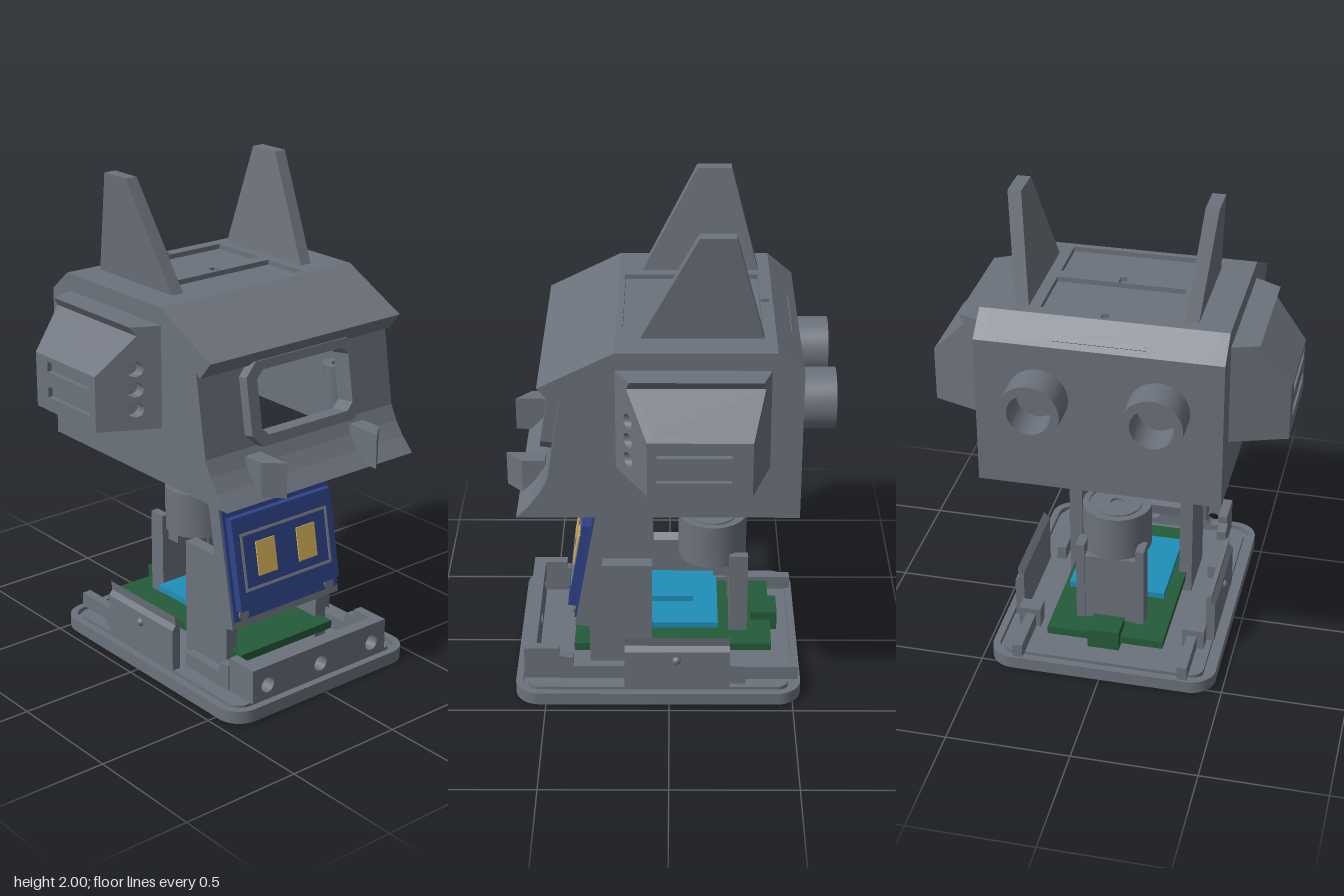
import * as THREE from 'three';
import { toCreasedNormals } from 'three/addons/utils/BufferGeometryUtils.js';

const paint = (name, hex) => {
  const m = new THREE.MeshStandardMaterial({ color: hex });
  m.name = name;
  return m;
};

export function createModel() {
  const grey = paint('casing grey', 0x6c727c);
  const blue = paint('display blue', 0x2f4489);
  const gold = paint('eye gold', 0xd9b45a);
  const line = paint('bezel line', 0x85888c);
  const green = paint('board green', 0x245c39);
  const cyan = paint('module cyan', 0x1f8fb8);

  const model = new THREE.Group();
  const head = new THREE.Group();
  const base = new THREE.Group();
  head.name = 'headShell';
  base.name = 'baseUnit';
  model.add(head, base);

  // ---- helpers ----
  const add = (parent, name, geo, mat = grey) => {
    const m = new THREE.Mesh(geo, mat);
    m.name = name;
    parent.add(m);
    return m;
  };
  const box = (parent, name, mat, x0, x1, y0, y1, z0, z1) => {
    const g = new THREE.BoxGeometry(Math.abs(x1 - x0), y1 - y0, z1 - z0);
    g.translate((x0 + x1) / 2, (y0 + y1) / 2, (z0 + z1) / 2);
    return add(parent, name, g, mat);
  };
  const poly = (pts, holes = []) => {
    const s = new THREE.Shape(pts.map(p => new THREE.Vector2(...p)));
    s.holes = holes;
    return s;
  };
  const rect = (x0, x1, y0, y1, c = 0) => c
    ? [[x0 + c, y0], [x1 - c, y0], [x1, y0 + c], [x1, y1 - c], [x1 - c, y1], [x0 + c, y1], [x0, y1 - c], [x0, y0 + c]]
    : [[x0, y0], [x1, y0], [x1, y1], [x0, y1]];
  const hole = pts => new THREE.Path(pts.map(p => new THREE.Vector2(...p)));
  const round = (x, y, r) => new THREE.Path().absarc(x, y, r, 0, Math.PI * 2, true);
  const disc = r => new THREE.Shape().absarc(0, 0, r, 0, Math.PI * 2, false);
  const extrude = (shape, depth) =>
    new THREE.ExtrudeGeometry(shape, { depth, bevelEnabled: false, curveSegments: 24 });
  // side profile in (z, y), swept across x
  const across = (pts, x0, x1, holes) =>
    extrude(poly(pts, holes), x1 - x0).rotateY(-Math.PI / 2).translate(x1, 0, 0);
  // plan shape in (x, -z), raised from y0 to y1
  const upward = (shape, y0, y1) =>
    toCreasedNormals(extrude(shape, y1 - y0).rotateX(-Math.PI / 2).translate(0, y0, 0), 0.5);
  const mirrored = geo => {
    const g = geo.clone().scale(-1, 1, 1);
    const a = g.attributes.position;
    const p = new THREE.Vector3(), q = new THREE.Vector3();
    for (let i = 0; i < a.count; i += 3) {
      p.fromBufferAttribute(a, i);
      q.fromBufferAttribute(a, i + 2);
      a.setXYZ(i, q.x, q.y, q.z);
      a.setXYZ(i + 2, p.x, p.y, p.z);
    }
    g.computeVertexNormals();
    return g;
  };

  // ---- head: walls, brow, back, chin ----
  const chin = [[0.585, 0.89], [0.53, 0.945], [0.49, 1.0], [0.46, 1.06]];
  const side = [[-0.5, 0.89], ...chin, [0.407, 1.386], [0.43, 1.37], [0.49, 1.44],
    [0.2, 1.585], [-0.4, 1.585], [-0.5, 1.5]];
  add(head, 'leftWall', across(side, 0.435, 0.475));
  add(head, 'rightWall', across(side, -0.475, -0.435));
  const W = 0.435;
  add(head, 'brow', across([[0.2, 1.585], [0.49, 1.44], [0.43, 1.37], [0.39, 1.38], [0.2, 1.53]], -W, W));
  add(head, 'backWall', across([[-0.4, 1.585], [-0.5, 1.5], [-0.5, 0.89], [-0.46, 0.89], [-0.46, 1.48], [-0.4, 1.53]], -W, W));
  add(head, 'chin', across([...chin, [0.42, 1.06], [0.45, 1.0], [0.49, 0.94], [0.54, 0.89]], -W, W));
  add(head, 'backSlot', across([[-0.465, 1.53], [-0.48, 1.517], [-0.4825, 1.52], [-0.4675, 1.533]], -0.175, 0.175));

  // roof with two sunken panels and two key slots
  const sunk = [rect(-0.253, 0.253, 0.095, 0.35), rect(-0.253, 0.253, -0.175, 0.04),
    rect(-0.014, 0.014, 0.353, 0.385), rect(-0.014, 0.014, 0.043, 0.092)].map(hole);
  add(head, 'roof', upward(poly(rect(-W, W, -0.2, 0.4), sunk), 1.565, 1.585));
  box(head, 'roofPanels', grey, -W, W, 1.53, 1.565, -0.4, 0.2);

  // tilted face panel with raised window frame
  const face = new THREE.Group();
  face.name = 'facePanel';
  face.position.set(0, 1.06, 0.46);
  face.rotation.x = -0.16;
  head.add(face);
  const opening = () => hole(rect(-0.23, 0.23, 0.04, 0.29, 0.03));
  add(face, 'facePlate', extrude(poly(rect(-W, W, 0, 0.33), [opening()]), 0.04).translate(0, 0, -0.04));
  add(face, 'windowFrame', extrude(poly(rect(-0.28, 0.28, 0, 0.325, 0.05), [opening()]), 0.045));

  // cheek pods: tapering front and back, with round and slotted openings
  const taper = geo => {
    const p = geo.attributes.position;
    for (let i = 0; i < p.count; i++) {
      const d = p.getX(i) - 0.475;
      p.setZ(i, THREE.MathUtils.lerp(-0.38 + d * 0.33, 0.2 - d * 0.545, p.getZ(i)));
    }
    geo.computeVertexNormals();
    return geo;
  };
  const crown = [[0.555, 1.48], [0.578, 1.515], [0.475, 1.515]];
  const podBody = taper(extrude(poly([[0.475, 1.11], [0.675, 1.11], [0.675, 1.351], ...crown]), 0.92));
  const podFront = taper(extrude(poly([[0.475, 1.11], [0.695, 1.11], [0.695, 1.33], ...crown],
    [1.35, 1.27, 1.19].map(y => round(0.563, y, 0.029))), 0.08).translate(0, 0, 0.92));
  const slot = (y0, y1) => hole(rect(0.2, 0.91, y0, y1));
  const podOuter = across(rect(0, 0.92, 1.11, 1.33), 0.675, 0.695, [slot(1.165, 1.208), slot(1.268, 1.31)]);
  const op = podOuter.attributes.position;
  for (let i = 0; i < op.count; i++) if (op.getX(i) < 0.68 && op.getY(i) > 1.32) op.setY(i, 1.351);
  taper(podOuter);
  for (const [name, geo] of [['podBody', podBody], ['podFront', podFront], ['podOuterPlate', podOuter]]) {
    add(head, name, geo);
    add(head, name, mirrored(geo));
  }

  for (const s of [-1, 1]) {
    // ear: a box leaning outward and narrowing upward
    const ear = new THREE.BoxGeometry(1, 1, 1);
    const p = ear.attributes.position;
    for (let i = 0; i < p.count; i++) {
      const top = p.getY(i) > 0, front = p.getZ(i) > 0;
      p.setXYZ(i, s * (top ? 0.37 : 0.322) + p.getX(i) * 0.052, top ? 2 : 1.58,
        top ? (front ? -0.11 : -0.245) : (front ? 0.11 : -0.355));
    }
    add(head, 'ear', ear.toNonIndexed()).geometry.computeVertexNormals();

    // tusk under the window
    add(head, 'tusk', upward(poly([[s * 0.3, -0.48], [s * 0.3, -0.57], [s * 0.228, -0.635], [s * 0.228, -0.48]]), 0.9, 1.04));

    // rear exhaust ring
    const ring = disc(0.118);
    ring.holes.push(round(0, 0, 0.083));
    add(head, 'rearTube', toCreasedNormals(extrude(ring, 0.137), 0.5).translate(s * 0.232, 1.283, -0.635));

    // screw posts inside the shell
    for (const z of [-0.4, 0.25]) {
      const post = disc(0.06);
      post.holes.push(round(0, 0, 0.025));
      add(head, 'screwPost', upward(post, 0.9, 1.2).translate(s * 0.375, 0, z));
    }
  }

  // ---- base plate with rim and groove ----
  const plan = inset => {
    const x = 0.465 - inset, a = -0.625 + inset, b = 0.535 - inset, r = 0.1 - inset;
    const h = Math.PI / 2;
    return new THREE.Shape().absarc(x - r, a + r, r, -h, 0).absarc(x - r, b - r, r, 0, h)
      .absarc(-x + r, b - r, r, h, 2 * h).absarc(-x + r, a + r, r, 2 * h, 3 * h);
  };
  add(base, 'basePlate', upward(plan(0), 0.004, 0.036));
  const rim = plan(0);
  rim.holes.push(new THREE.Path(plan(0.03).getPoints(24)));
  add(base, 'baseRim', upward(rim, 0.036, 0.057));
  add(base, 'baseDeck', upward(plan(0.05), 0.036, 0.055));
  for (const x of [-0.3, 0.3]) for (const z of [-0.29, 0.38])
    add(base, 'footPad', new THREE.CylinderGeometry(0.08, 0.08, 0.006, 32).translate(x, 0.003, z));

  // front bar with three holes
  add(base, 'frontBar', extrude(poly(rect(-0.35, 0.35, 0.055, 0.197),
    [-0.275, 0, 0.275].map(x => round(x, 0.115, 0.032))), 0.05).translate(0, 0, 0.54));
  for (const s of [-1, 1]) {
    box(base, 'barReturn', grey, s * 0.31, s * 0.35, 0.055, 0.197, 0.447, 0.54);
    add(base, 'frontRail', across([[0.447, 0.055], [0.447, 0.165], [0.39, 0.155], [0.39, 0.115], [0.18, 0.115], [0.18, 0.055]],
      s * 0.335 - 0.02, s * 0.335 + 0.02));
    box(base, 'rearRail', grey, s * 0.32, s * 0.36, 0.055, 0.115, -0.525, -0.2);
    box(base, 'rearBlock', grey, s * 0.3, s * 0.39, 0.055, 0.14, -0.31, -0.245);
    // side wall with snap hook and knob
    add(base, 'sideWall', extrude(poly([[0.385, 0.055], [0.422, 0.055], [0.422, 0.23], [0.405, 0.25],
      [0.41, 0.29], [0.385, 0.265]].map(([x, y]) => [s * x, y])), 0.425).translate(0, 0, -0.245));
    add(base, 'snapKnob', new THREE.SphereGeometry(0.018, 16, 12).translate(s * 0.42, 0.19, -0.03));
    // screen support arm
    add(base, 'screenArm', across([[0.325, 0.055], [0.325, 0.26], [0.275, 0.54], [0.07, 0.54], [0.07, 0.055]],
      s * 0.238 - 0.027, s * 0.238 + 0.027));
  }

  // ---- electronics ----
  box(base, 'mainBoard', green, -0.24, 0.24, 0.115, 0.148, -0.42, 0.39);
  box(base, 'boardConnector', green, -0.065, 0.065, 0.1, 0.185, -0.45, -0.34);
  box(base, 'moduleSupport', grey, -0.12, 0.12, 0.055, 0.2, -0.15, 0.15);
  box(base, 'module', cyan, -0.2, 0.2, 0.2, 0.225, -0.2, 0.2);
  box(base, 'moduleChip', cyan, -0.04, 0.04, 0.225, 0.25, -0.1, 0.15);

  // rear post carrying the speaker cup
  box(base, 'speakerPost', grey, -0.11, 0.11, 0.055, 0.45, -0.315, -0.25);
  for (const s of [-1, 1]) {
    box(base, 'postFin', grey, s * 0.105, s * 0.14, 0.055, 0.505, -0.322, -0.245);
    box(base, 'postBracket', grey, s * 0.06, s * 0.11, 0.395, 0.455, -0.25, -0.18);
  }
  const cup = [[0, 0.62], [0.105, 0.62], [0.105, 0.47], [0.105, 0.45], [0.14, 0.45], [0.14, 0.64],
    [0.115, 0.64], [0.115, 0.632], [0.1, 0.632], [0.1, 0.638], [0.028, 0.638], [0.028, 0.628], [0, 0.628]];
  add(base, 'speakerCup', toCreasedNormals(
    new THREE.LatheGeometry(cup.map(p => new THREE.Vector2(...p)), 48), 0.5).translate(0, 0, -0.178));

  // ---- tilted screen ----
  const screen = new THREE.Group();
  screen.name = 'screen';
  screen.position.set(0, 0.268, 0.383);
  screen.rotation.x = -0.178;
  base.add(screen);
  add(screen, 'screenFrame', extrude(poly(rect(-0.28, 0.28, 0, 0.545),
    [hole(rect(-0.235, 0.235, 0.05, 0.5))]), 0.06).translate(0, 0, -0.06));
  box(screen, 'screenBoard', blue, -0.272, 0.272, 0.03, 0.548, -0.008, 0.008);
  box(screen, 'screenGlass', blue, -0.258, 0.258, 0.075, 0.453, 0.008, 0.042);
  add(screen, 'bezelLine', extrude(poly(rect(-0.225, 0.225, 0.148, 0.385),
    [hole(rect(-0.214, 0.214, 0.159, 0.374))]), 0.003).translate(0, 0, 0.042));
  screen.getObjectByName('bezelLine').material = line;
  for (const s of [-1, 1]) {
    box(screen, 'eye', gold, s * 0.057, s * 0.153, 0.197, 0.337, 0.042, 0.047);
    for (const y of [0.052, 0.508])
      add(screen, 'screenScrew', new THREE.CylinderGeometry(0.024, 0.024, 0.008, 20)
        .rotateX(Math.PI / 2).translate(s * 0.225, y, 0.011));
  }
  return model;
}
